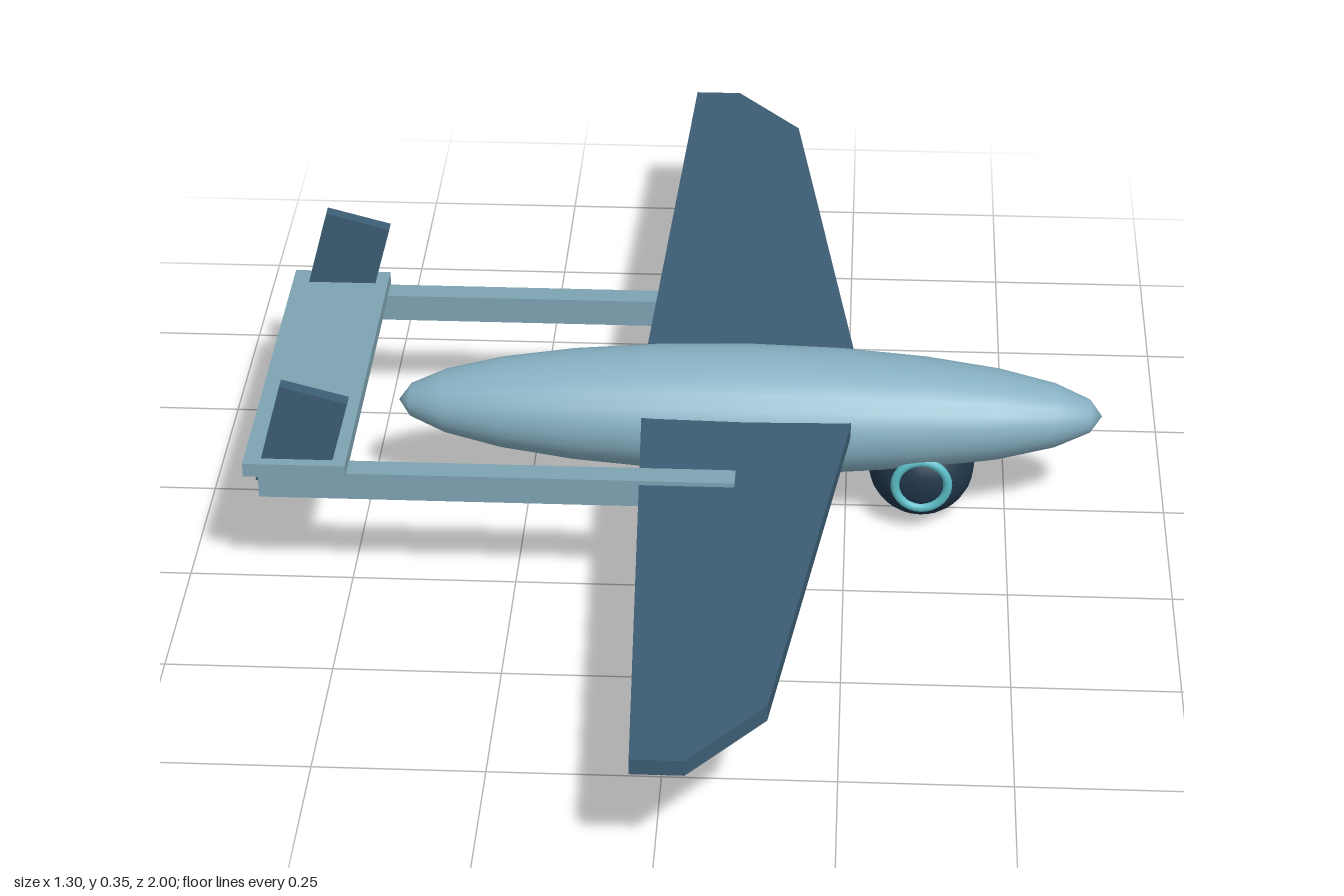
import * as THREE from 'three';

const material = (name, color) => {
  const m = new THREE.MeshStandardMaterial({ color });
  m.name = name;
  return m;
};

export function createModel() {
  const group = new THREE.Group();
  group.name = 'twinBoomAircraft';

  const paleBlue = material('paleBlue', 0x86b0c2);
  const greyBlue = material('greyBlue', 0x7ea3b2);
  const slateBlue = material('slateBlue', 0x3c5d73);
  const navy = material('navy', 0x20364a);
  const teal = material('teal', 0x5bbcc6);

  const add = (name, geometry, mat, x, y, z) => {
    const mesh = new THREE.Mesh(geometry, mat);
    mesh.name = name;
    mesh.position.set(x, y, z);
    group.add(mesh);
    return mesh;
  };

  // Fuselage: a long ellipsoid with its poles at nose and tail
  const body = new THREE.SphereGeometry(1, 24, 12);
  body.rotateZ(-Math.PI / 2);
  body.scale(0.548, 0.096, 0.112);
  add('fuselage', body, paleBlue, 0.097, 0.171, -0.003);

  // Wings: tapered plates with clipped tips; the far one sits a little higher
  const planform = [[-0.066, 0.09], [0.257, 0.09], [0.152, 0.865], [0.045, 1], [-0.03, 1]];
  for (const [name, side, y] of [['nearWing', 1, 0.181], ['farWing', -1, 0.208]]) {
    const shape = new THREE.Shape(planform.map(([x, z]) => new THREE.Vector2(x, -side * z)));
    const wing = new THREE.ExtrudeGeometry(shape, { depth: 0.024, bevelEnabled: false });
    wing.rotateX(-Math.PI / 2);
    add(name, wing, slateBlue, 0, y, 0);
  }

  // Tail booms with raked fins
  for (const side of [1, -1]) {
    const z = side * 0.278 - 0.004;
    add('tailBoom', new THREE.BoxGeometry(0.715, 0.044, 0.038), greyBlue, -0.2725, 0.19, z);
    const fin = add('tailFin', new THREE.BoxGeometry(0.104, 0.168, 0.022), slateBlue, -0.563, 0.26, z);
    fin.rotation.z = -0.262;
  }

  // Tailplane joining the booms
  add('tailplane', new THREE.BoxGeometry(0.154, 0.022, 0.612), greyBlue, -0.574, 0.219, -0.004);

  // Round pod under the nose with a ring on one side
  add('nosePod', new THREE.SphereGeometry(0.083, 24, 16), navy, 0.367, 0.083, 0);
  add('podRing', new THREE.TorusGeometry(0.041, 0.007, 10, 28), teal, 0.367, 0.086, 0.076);

  return group;
}
